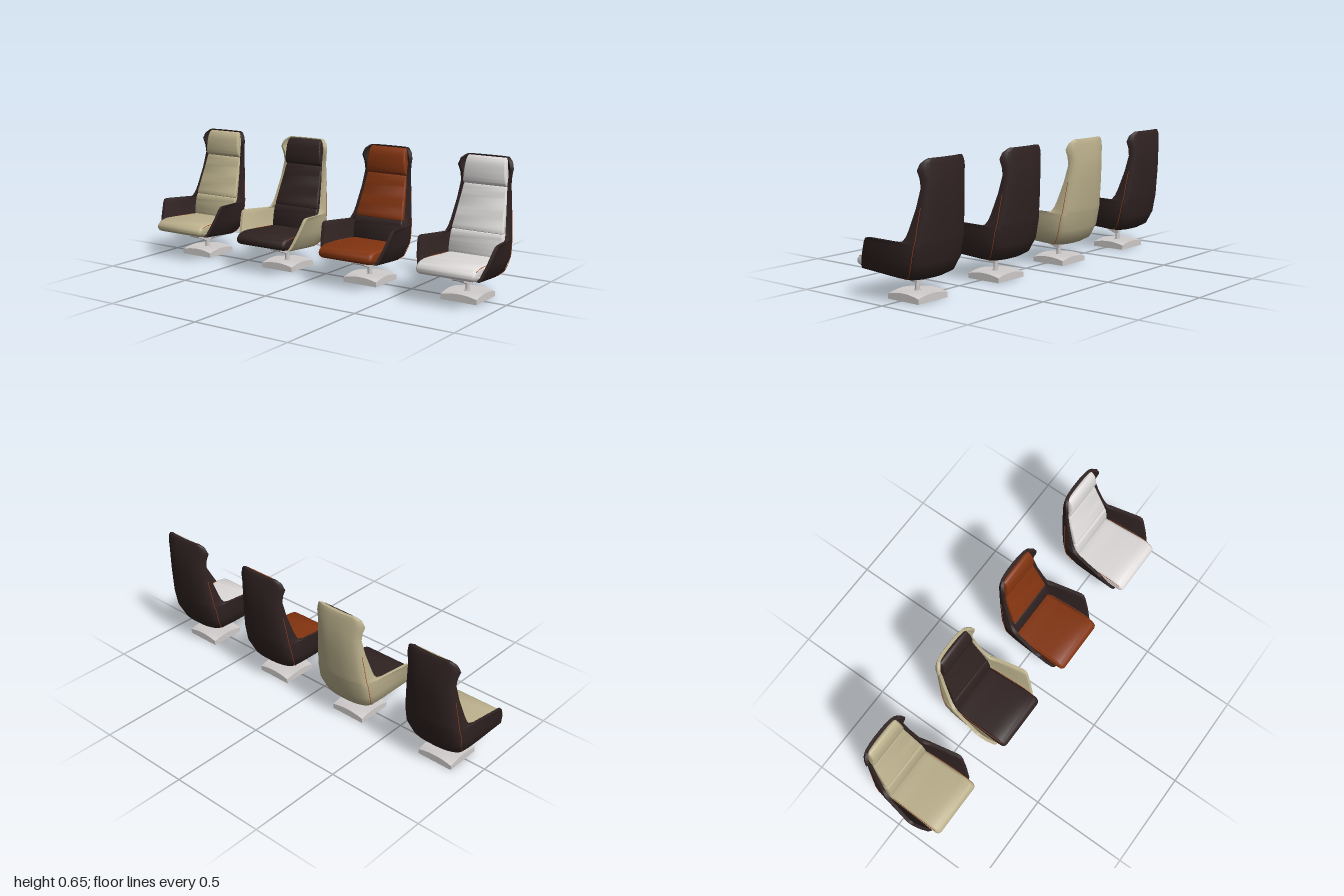
import * as THREE from 'three';
import { toCreasedNormals } from 'three/addons/utils/BufferGeometryUtils.js';

const V = (x, y, z) => new THREE.Vector3(x, y, z);
const clamp = THREE.MathUtils.clamp;
const paint = (name, hex) => {
  const m = new THREE.MeshStandardMaterial({ color: hex });
  m.name = name;
  return m;
};

// Shell levels: back height, back z, back half width, front-edge height, front-edge z, front half width
const LEVELS = [
  [.108, -.113, .125, .137, .176, .155], [.126, -.146, .142, .155, .168, .168],
  [.19, -.176, .157, .215, .14, .188], [.26, -.19, .156, .274, .111, .202],
  [.275, -.194, .155, .29, .1, .205], [.277, -.194, .155, .294, .083, .205],
  [.279, -.195, .154, .281, -.055, .175], [.29, -.197, .153, .285, -.085, .165],
  [.31, -.2, .15, .31, -.104, .158], [.342, -.204, .147, .342, -.117, .152],
  [.44, -.217, .136, .44, -.149, .138], [.525, -.221, .127, .525, -.169, .129],
  [.565, -.219, .13, .565, -.168, .134], [.6, -.216, .138, .6, -.163, .145],
  [.63, -.212, .13, .63, -.172, .135], [.645, -.209, .115, .645, -.184, .118],
  [.651, -.206, .105, .651, -.19, .107],
];

// U-shaped plan curve of one level, from the +x front edge round the back to the -x one
function levelCurve([yB, zB, wB, yF, zF, wF]) {
  const k = Math.min(1, (zF - zB) / .06);
  const at = (x, z) => V(x, yB + (yF - yB) * (z - zB) / (zF - zB), z);
  const half = [at(wF, zF), at(wB, zB + .045 * k), at(.9 * wB, zB + .025 * k), at(.55 * wB, zB + .006 * k)];
  const other = half.map(p => V(-p.x, p.y, p.z)).reverse();
  return new THREE.CatmullRomCurve3([...half, at(0, zB), ...other]);
}

// Thick wrap-around shell: outer and inner skins lofted as one closed ring
function shellGeometry() {
  const M = 40, N = 2 * (M + 1), T = .016, pos = [], idx = [];
  for (const level of LEVELS) {
    const curve = levelCurve(level), outer = [], inner = [];
    for (let j = 0; j <= M; j++) {
      const p = curve.getPoint(j / M), t = curve.getTangent(j / M);
      const l = Math.hypot(t.x, t.z);
      outer.push(p);
      inner.push(V(p.x + T * t.z / l, p.y, p.z - T * t.x / l));
    }
    for (const p of [...outer, ...inner.reverse()]) pos.push(p.x, p.y, p.z);
  }
  for (let i = 0; i < LEVELS.length - 1; i++)
    for (let j = 0; j < N; j++) {
      const a = i * N + j, b = i * N + (j + 1) % N;
      idx.push(a, b, a + N, b, b + N, a + N);
    }
  const top = (LEVELS.length - 1) * N;
  for (let j = 0; j < M; j++) {
    const a = j, b = j + 1, c = N - 2 - j, d = N - 1 - j;
    idx.push(top + a, top + b, top + d, top + b, top + c, top + d);
    idx.push(a, d, b, b, d, c);
  }
  const g = new THREE.BufferGeometry();
  g.setAttribute('position', new THREE.Float32BufferAttribute(pos, 3));
  g.setIndex(idx);
  return toCreasedNormals(g, .8);
}

// Cushion: closed (z, y) side profile extruded across x, with rounded sides and a width rule
function cushionGeometry(profile, halfWidth, bevel) {
  const curve = new THREE.CatmullRomCurve3(profile.map(([z, y]) => V(z, y, 0)), true);
  const shape = new THREE.Shape(curve.getPoints(48).slice(0, -1).map(p => new THREE.Vector2(p.x, p.y)));
  const g = new THREE.ExtrudeGeometry(shape, {
    depth: 2 - 2 * bevel * 7, bevelThickness: bevel * 7, bevelSize: bevel, bevelOffset: -bevel, bevelSegments: 4,
  });
  g.translate(0, 0, -(1 - bevel * 7));
  g.rotateY(-Math.PI / 2);
  const p = g.attributes.position;
  for (let i = 0; i < p.count; i++) p.setX(i, p.getX(i) * halfWidth(p.getY(i), p.getZ(i)));
  return toCreasedNormals(g, .7);
}

const seatWidth = (y, z) => {
  const low = clamp((.17 - y) / .05, 0, 1), rear = clamp((.16 - z) / .27, 0, 1);
  return .152 * (1 - .05 * rear - .22 * low * rear - .03 * low);
};

// Square foot whose corners dip below its edge middles
function footGeometry() {
  const w = .188, g = new THREE.BoxGeometry(w, .037, w, 12, 1, 12);
  const p = g.attributes.position;
  for (let i = 0; i < p.count; i++)
    if (p.getY(i) > 0) p.setY(i, .0185 - .013 * (4 * p.getX(i) * p.getZ(i) / (w * w)) ** 2);
  return toCreasedNormals(g, .6);
}

const tube = (points, r) => new THREE.TubeGeometry(new THREE.CatmullRomCurve3(points), 32, r, 6);

export function createModel() {
  const dark = paint('dark brown leather', 0x302322);
  const beige = paint('beige leather', 0xbcb18d);
  const rust = paint('rust leather', 0x823410);
  const white = paint('white leather', 0xdedada);
  const metal = paint('pale metal', 0xd0cccb);
  const thread = paint('orange piping', 0xae471a);

  // Shared geometries
  const shell = shellGeometry();
  const seat = cushionGeometry([[.205, .143], [.15, .135], [.03, .124], [-.095, .114], [-.112, .13], [-.112, .175],
    [-.09, .19], [0, .197], [.1, .204], [.165, .205], [.2, .196], [.221, .175], [.221, .155]], seatWidth, .02);
  const lumbar = cushionGeometry([[-.079, .185], [-.076, .22], [-.08, .26], [-.089, .298], [-.1, .304],
    [-.128, .302], [-.125, .24], [-.118, .185], [-.1, .178]], y => .142 - .06 * (y - .2), .008);
  const back = cushionGeometry([[-.092, .305], [-.105, .35], [-.122, .4], [-.142, .455], [-.158, .505], [-.166, .515],
    [-.183, .512], [-.177, .46], [-.162, .4], [-.146, .34], [-.132, .305], [-.11, .3]], y => .135 - .11 * (y - .3), .008);
  const headrest = cushionGeometry([[-.162, .514], [-.153, .526], [-.15, .555], [-.152, .59], [-.158, .62], [-.17, .64],
    [-.185, .647], [-.194, .64], [-.19, .6], [-.188, .55], [-.182, .518], [-.172, .512]], y => .115 - .1 * (y - .515), .01);
  const foot = footGeometry();
  const armShape = new THREE.Shape();
  armShape.moveTo(-.026, .072);
  armShape.lineTo(0, .07);
  armShape.lineTo(.078, .1);
  armShape.lineTo(.085, .112);
  armShape.lineTo(.07, .112);
  armShape.lineTo(-.004, .092);
  armShape.lineTo(-.026, .09);
  const arm = new THREE.ExtrudeGeometry(armShape, { depth: .026, bevelEnabled: false });
  arm.translate(0, 0, -.013).rotateY(-Math.PI / 2);

  // Piping paths: shell corners, headrest sides and seat edges
  const corners = LEVELS.slice(0, 11).map(l => levelCurve(l).getPoint(1 / 8));
  const pipes = {
    shellPiping: tube(corners, .0014),
    headrestPiping: tube([V(.111, .53, -.158), V(.108, .56, -.156), V(.104, .6, -.159), V(.1, .63, -.171)], .0014),
    seatPiping: tube([V(.143, .19, -.06), V(.148, .196, .05), V(.149, .197, .15), V(.148, .188, .198)], .0014),
  };

  function makeChair(name, x, shellMat, cushionMat, lumbarMat) {
    const chair = new THREE.Group();
    chair.name = name;
    chair.position.x = x;
    const add = (part, geo, mat, px = 0, py = 0, pz = 0) => {
      const m = new THREE.Mesh(geo, mat);
      m.name = part;
      m.position.set(px, py, pz);
      chair.add(m);
      return m;
    };
    // Upholstery
    add('shell', shell, shellMat);
    add('seatCushion', seat, cushionMat);
    add('lumbarCushion', lumbar, lumbarMat);
    add('backCushion', back, cushionMat);
    add('headrest', headrest, cushionMat);
    for (const [part, geo] of Object.entries(pipes)) {
      add(part + 'Left', geo, thread);
      const mirrored = geo.clone().scale(-1, 1, 1);
      mirrored.setIndex([...geo.index.array].reverse());
      add(part + 'Right', mirrored, thread);
    }
    // Pedestal
    add('foot', foot, metal, 0, .0185, -.017);
    add('collar', new THREE.CylinderGeometry(.015, .015, .006, 24), metal, 0, .038, -.014);
    add('column', new THREE.CylinderGeometry(.011, .011, .06, 24), metal, 0, .065, -.014);
    add('columnTip', new THREE.CylinderGeometry(.004, .004, .01, 12), metal, 0, .096, -.014);
    add('tiltArm', arm, metal);
    add('tiltPivot', new THREE.CylinderGeometry(.008, .008, .06, 20), metal, 0, .107, .081).rotation.z = Math.PI / 2;
    add('mountPlate', new THREE.BoxGeometry(.13, .016, .11), metal, 0, .122, .05);
    return chair;
  }

  const model = new THREE.Group();
  model.name = 'armchairs';
  model.add(
    makeChair('beigeChair', -.793, dark, beige, beige),
    makeChair('brownChair', -.253, beige, dark, dark),
    makeChair('rustChair', .253, dark, rust, dark),
    makeChair('whiteChair', .793, dark, white, white),
  );
  return model;
}
